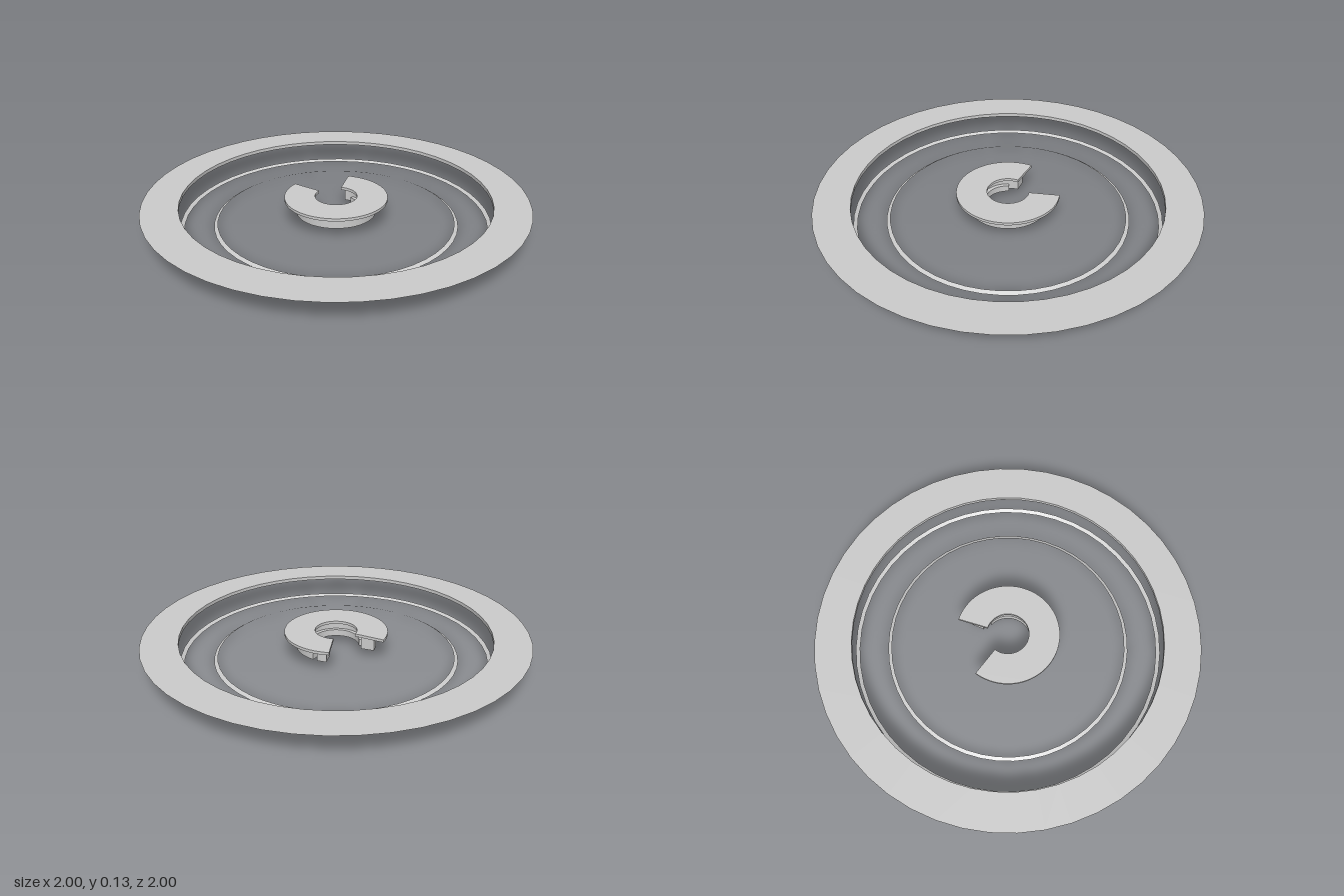
import * as THREE from 'three';
import { toCreasedNormals } from 'three/addons/utils/BufferGeometryUtils.js';

const SEGMENTS = 48;
const solid = new THREE.MeshStandardMaterial({ color: 0xcccccc });
const thin = new THREE.MeshStandardMaterial({ color: 0xcccccc, side: THREE.DoubleSide });

export function createModel() {
  const group = new THREE.Group();

  function add(name, geometry, material) {
    const mesh = new THREE.Mesh(geometry, material);
    mesh.name = name;
    group.add(mesh);
  }

  // Open surface swept round the axis between two (radius, height) points
  function band(name, r0, y0, r1, y1) {
    const profile = [new THREE.Vector2(r0, y0), new THREE.Vector2(r1, y1)];
    add(name, new THREE.LatheGeometry(profile, SEGMENTS), thin);
  }

  // Solid ring sector; angles in degrees run round from the back (-z)
  function sector(name, inner, outer, y0, y1, from, to) {
    const a = THREE.MathUtils.degToRad(90 + from);
    const b = THREE.MathUtils.degToRad(90 + to);
    const shape = new THREE.Shape();
    shape.absarc(0, 0, outer, a, b, false);
    shape.absarc(0, 0, inner, b, a, true);
    shape.closePath();
    const geometry = new THREE.ExtrudeGeometry(shape, {
      depth: y1 - y0, bevelEnabled: false, curveSegments: 40,
    });
    geometry.rotateX(-Math.PI / 2).translate(0, y0, 0);
    add(name, toCreasedNormals(geometry, 0.5), solid);
  }

  // Wide flange: flat top, narrower underside and the short wall in its opening
  band('flangeTop', 0.81, 0.13, 1, 0.13);
  band('flangeUnderside', 0.81, 0.11, 0.89, 0.11);
  band('flangeWall', 0.81, 0.11, 0.81, 0.13);

  // Sloped edge rings at the base
  band('outerBaseRing', 0.79, 0.003, 0.81, 0.014);
  band('innerBaseRing', 0.62, 0.01, 0.64, 0);

  // C-shaped hub, open at the back
  sector('hubLip', 0.11, 0.27, 0.115, 0.13, 35, 325);
  sector('hubBody', 0.14, 0.21, 0.045, 0.115, 61, 299);
  sector('hubInnerRim', 0.12, 0.14, 0.04, 0.075, 61, 299);

  // End blocks set off from the body by a notch on each side
  for (const [from, to] of [[41, 55], [305, 319]]) {
    sector('hubEndBlock', 0.14, 0.21, 0.045, 0.115, from, to);
  }
  for (const [from, to] of [[55, 61], [299, 305]]) {
    sector('hubNotchWeb', 0.14, 0.17, 0.045, 0.115, from, to);
  }

  return group;
}
